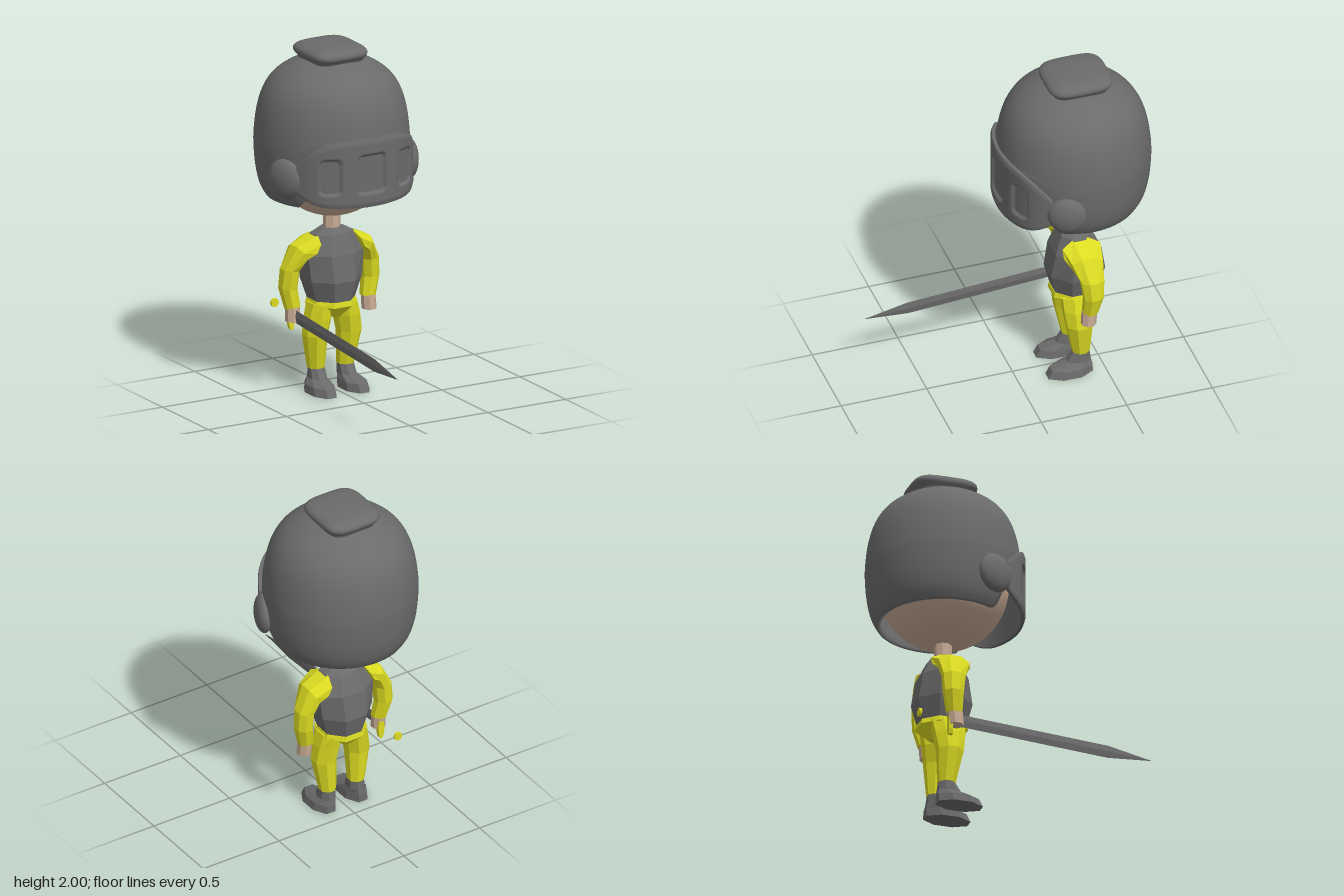
import * as THREE from 'three';

const CZ = -0.355; // z of the body axis

export function createModel() {
  const model = new THREE.Group();
  const mat = (name, color, flatShading = false) => {
    const m = new THREE.MeshStandardMaterial({ color });
    m.name = name;
    m.flatShading = flatShading;
    return m;
  };
  const grey = mat('grey', 0x6b6b6b);
  const skin = mat('skin', 0xc8ab95);
  const yellow = mat('yellow', 0xdcdc22);

  const add = (name, geometry, material, x = 0, y = 0, z = 0) => {
    const mesh = new THREE.Mesh(geometry, material);
    mesh.name = name;
    mesh.position.set(x, y, z);
    model.add(mesh);
    return mesh;
  };

  // Faceted loft; each section is [x0, y0, x1, y1, zBack, zFront], listed from top to bottom
  const loft = (sections, n = 8, phase = 0.5) => {
    const grow = phase ? 1 / Math.cos(Math.PI / n) : 1;
    const rings = sections.map(([x0, y0, x1, y1, z0, z1]) =>
      Array.from({ length: n }, (_, j) => {
        const a = ((j + phase) / n) * Math.PI * 2;
        const c = (Math.cos(a) * grow) / 2, s = (Math.sin(a) * grow) / 2;
        return new THREE.Vector3(
          (x0 + x1) / 2 + c * (x1 - x0),
          (y0 + y1) / 2 + c * (y1 - y0),
          (z0 + z1) / 2 + s * (z1 - z0));
      }));
    const pts = [];
    for (let i = 0; i < rings.length - 1; i++) {
      for (let j = 0; j < n; j++) {
        const k = (j + 1) % n, A = rings[i], B = rings[i + 1];
        pts.push(A[j], A[k], B[k], A[j], B[k], B[j]);
      }
    }
    const last = rings[rings.length - 1];
    for (let j = 1; j < n - 1; j++) {
      pts.push(rings[0][0], rings[0][j + 1], rings[0][j]);
      pts.push(last[0], last[j], last[j + 1]);
    }
    const g = new THREE.BufferGeometry().setFromPoints(pts);
    g.computeVertexNormals();
    return g;
  };
  const level = (y, x0, x1, z0, z1) => [x0, y, x1, y, z0, z1];
  const mirror = (secs) => secs.map(([x0, y0, x1, y1, z0, z1]) => [-x1, y1, -x0, y0, z0, z1]);
  const pair = (name, secs, material) => {
    add(name + 'Left', loft(secs), material);
    add(name + 'Right', loft(mirror(secs)), material);
  };
  const reshape = (g, rule) => {
    const p = g.attributes.position, v = new THREE.Vector3();
    for (let i = 0; i < p.count; i++) {
      rule(v.fromBufferAttribute(p, i));
      p.setXYZ(i, v.x, v.y, v.z);
    }
    g.computeVertexNormals();
    return g;
  };
  const profile = (list) => list.map(([r, y]) => new THREE.Vector2(r, y));

  // Head and neck
  add('head', new THREE.SphereGeometry(0.365, 48, 32), skin, 0, 1.378, CZ);
  add('neck', loft([level(1.06, -0.045, 0.045, -0.4, -0.31), level(0.92, -0.045, 0.045, -0.4, -0.31)]), skin);

  // Helmet shell with a raised face opening
  const outer = new THREE.SplineCurve(profile([
    [0.368, 1.14], [0.4, 1.2], [0.423, 1.3], [0.433, 1.43], [0.43, 1.52], [0.415, 1.63],
    [0.385, 1.73], [0.335, 1.81], [0.26, 1.87], [0.17, 1.91], [0.08, 1.925], [0, 1.928],
  ])).getPoints(44);
  outer[outer.length - 1].x = 0;
  const inner = profile([[0.385, 1.6], [0.4, 1.43], [0.39, 1.3], [0.37, 1.2], [0.345, 1.145]]);
  const shell = reshape(new THREE.LatheGeometry([...inner, ...outer], 72), (v) => {
    const front = THREE.MathUtils.smoothstep(v.z / (Math.hypot(v.x, v.z) || 1), 0.5, 0.85);
    if (v.y < 1.55) v.y = 1.55 - (1.55 - v.y) * (1 - 0.65 * front);
  });
  add('helmetShell', shell, grey, 0, 0, CZ);

  // Rounded square cap on the crown
  const cap = new THREE.SplineCurve(profile([
    [0.145, 1.88], [0.152, 1.915], [0.172, 1.945], [0.165, 1.972], [0.13, 1.99], [0.07, 1.998], [0, 2],
  ])).getPoints(24);
  cap[cap.length - 1].x = 0;
  add('crownCap', reshape(new THREE.LatheGeometry(cap, 64), (v) => {
    const r = Math.hypot(v.x, v.z) || 1;
    const k = Math.pow((v.x / r) ** 4 + (v.z / r) ** 4, -0.25) || 1;
    if (r < 1 && Number.isFinite(k)) { v.x *= k; v.z *= k * 1.08; }
  }), grey, 0, 0, -0.37);

  // Curved visor with three recessed windows
  const windows = [[0, 1.355, 0.092, 0.118], [-0.235, 1.35, 0.06, 0.108], [0.235, 1.35, 0.06, 0.108]];
  const recess = (x, y) => {
    let depth = 0;
    for (const [cx, cy, w, h] of windows) {
      const r = 0.035;
      const dx = Math.max(Math.abs(x - cx) - w + r, 0), dy = Math.max(Math.abs(y - cy) - h + r, 0);
      depth = Math.max(depth, 1 - THREE.MathUtils.smoothstep(Math.hypot(dx, dy), r - 0.014, r));
    }
    return depth * 0.016;
  };
  add('visor', reshape(new THREE.BoxGeometry(2, 2, 2, 120, 60, 1), (v) => {
    const a = Math.abs(v.x), isFront = v.z > 0;
    const x = v.x * (isFront ? 0.375 : 0.36);
    const top = 1.555 - 0.03 * a ** 2 - 0.12 * a ** 7;
    const bottom = 1.165 + 0.015 * a ** 2 + 0.07 * a ** 8;
    const y = THREE.MathUtils.lerp(bottom, top, (v.y + 1) / 2);
    const z = 0.098 - 0.95 * x * x - 0.065 * a ** 8;
    const rim = 0.008 * Math.max(0, Math.abs(v.y) - 0.88) / 0.12;
    v.set(x, y, isFront ? z - recess(x, y) - rim : z - 0.028);
  }), grey);

  // Round hinge covers
  for (const s of [1, -1]) {
    const ear = add(s > 0 ? 'hingeCoverLeft' : 'hingeCoverRight',
      new THREE.SphereGeometry(1, 32, 20), grey, s * 0.398, 1.315, -0.185);
    ear.scale.set(0.052, 0.113, 0.11);
    ear.rotation.y = -s * 0.4;
  }

  // Torso and hips
  add('torso', loft([
    level(0.94, -0.06, 0.06, -0.41, -0.3),
    level(0.91, -0.12, 0.12, -0.44, -0.27),
    level(0.8, -0.178, 0.178, -0.495, -0.23),
    level(0.65, -0.162, 0.162, -0.52, -0.205),
    level(0.525, -0.122, 0.122, -0.49, -0.235),
  ]), mat('greyFaceted', 0x6b6b6b, true)).material = grey;
  add('hips', loft([
    level(0.53, -0.125, 0.125, -0.495, -0.23),
    level(0.5, -0.135, 0.135, -0.5, -0.225),
    level(0.43, -0.04, 0.04, -0.43, -0.29),
  ]), yellow);

  // Legs and boots
  pair('leg', [
    level(0.515, 0.03, 0.138, -0.455, -0.26),
    level(0.43, 0.022, 0.16, -0.44, -0.265),
    level(0.33, 0.042, 0.175, -0.425, -0.28),
    level(0.135, 0.048, 0.14, -0.415, -0.32),
  ], yellow);
  pair('boot', [
    level(0.14, 0.05, 0.137, -0.412, -0.322),
    level(0.08, 0.048, 0.142, -0.42, -0.285),
    level(0.05, 0.04, 0.168, -0.425, -0.19),
    level(0.005, 0.036, 0.176, -0.425, -0.167),
  ], grey);

  // Arms and hands
  pair('arm', [
    [0.17, 0.79, 0.11, 0.91, -0.47, -0.25],
    [0.185, 0.765, 0.235, 0.855, -0.455, -0.275],
    [0.205, 0.715, 0.302, 0.725, -0.445, -0.315],
    [0.215, 0.61, 0.312, 0.615, -0.44, -0.33],
    [0.2, 0.505, 0.283, 0.495, -0.415, -0.33],
  ], yellow);
  pair('hand', [
    [0.205, 0.51, 0.28, 0.505, -0.41, -0.328],
    [0.206, 0.425, 0.284, 0.425, -0.402, -0.322],
  ], skin);

  // Sword: blade, guard and pommel
  const blade = add('swordBlade', loft([
    level(0, -0.007, 0.007, -0.037, 0.037),
    level(-0.92, -0.006, 0.006, -0.037, 0.037),
    level(-1.173, -0.0005, 0.0005, -0.001, 0.001),
  ], 4, 0), grey, -0.243, 0.46, -0.39);
  blade.rotation.x = -Math.PI / 2 + 0.068;
  const disc = (name, rx, ry, depth, y, z) => {
    const g = new THREE.CylinderGeometry(1, 1, 1, 12).toNonIndexed();
    g.rotateX(Math.PI / 2);
    g.scale(rx, ry, depth);
    g.computeVertexNormals();
    add(name, g, yellow, -0.238, y, z);
  };
  disc('swordGuard', 0.02, 0.07, 0.024, 0.432, -0.395);
  disc('swordPommel', 0.024, 0.025, 0.015, 0.475, -0.573);

  return model;
}
